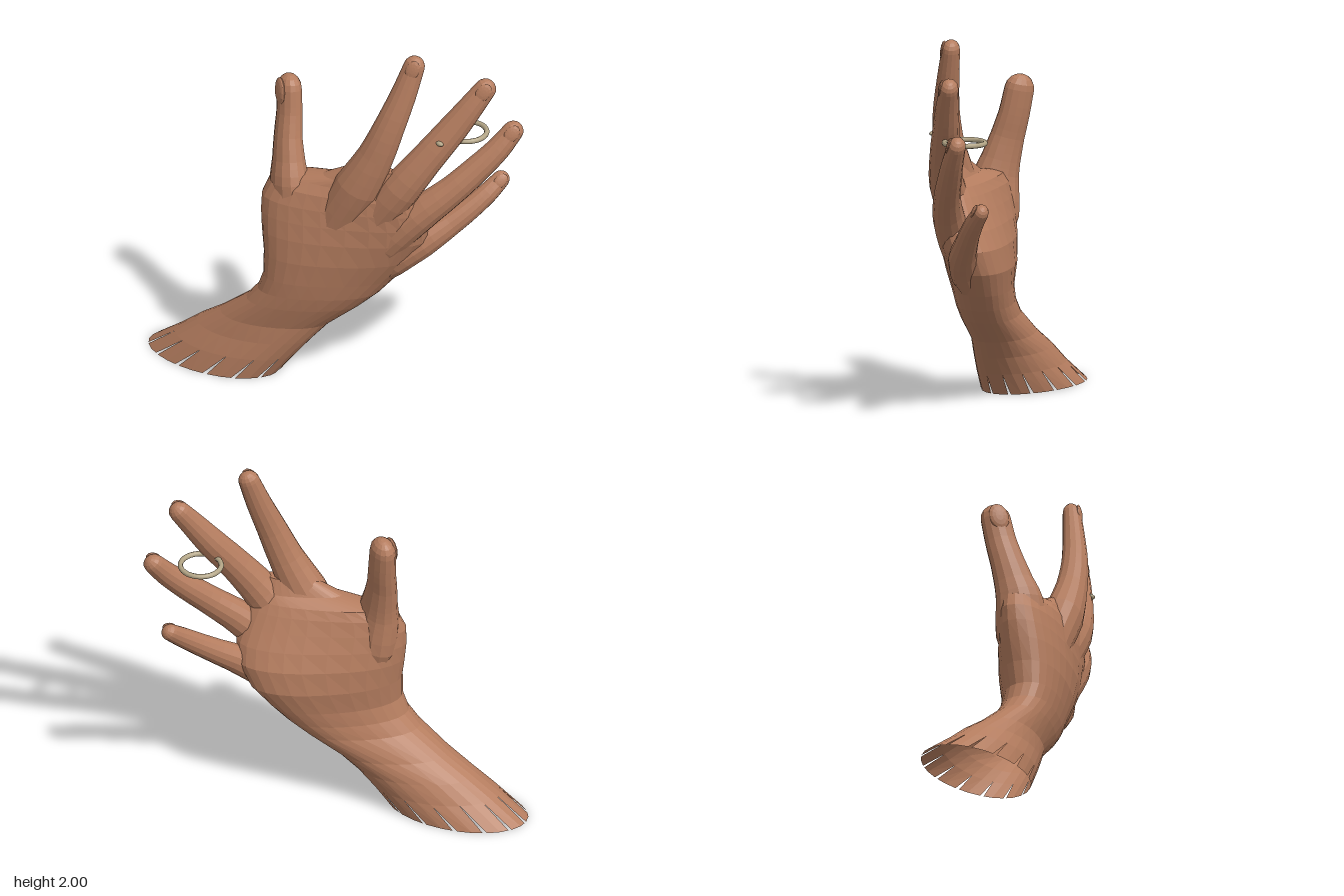
import * as THREE from 'three';

const SIDES = 14;

// Skin between closed rings of points, closed by a fan at the far end
function loft(rings) {
  const n = rings[0].length, pos = [], idx = [];
  rings.forEach(r => r.forEach(p => pos.push(p.x, p.y, p.z)));
  for (let i = 0; i < rings.length - 1; i++) {
    for (let j = 0; j < n; j++) {
      const k = (j + 1) % n, a = i * n + j, b = i * n + k;
      idx.push(a, b, a + n, b, b + n, a + n);
    }
  }
  const last = rings[rings.length - 1], base = (rings.length - 1) * n;
  const c = last.reduce((s, p) => s.add(p), new THREE.Vector3()).divideScalar(n);
  pos.push(c.x, c.y, c.z);
  for (let j = 0; j < n; j++) idx.push(base + j, base + (j + 1) % n, rings.length * n);
  const g = new THREE.BufferGeometry();
  g.setAttribute('position', new THREE.Float32BufferAttribute(pos, 3));
  g.setIndex(idx);
  g.computeVertexNormals();
  return g;
}

// Level, slanted oval fitted between x and z limits; a higher k is flatter and squarer
function slice([y, x0, x1, z0, z1, k], n) {
  const power = 1.2 - k / 2, ring = [];
  const soft = v => Math.sign(v) * Math.pow(Math.abs(v), power);
  for (let j = 0; j < n; j++) {
    const t = j / n * Math.PI * 2;
    const along = Math.sqrt(1 + k) * soft(Math.cos(t)), across = Math.sqrt(1 - k) * soft(Math.sin(t));
    ring.push(new THREE.Vector3(along - across, y, -along - across));
  }
  const mx = Math.max(...ring.map(p => p.x)), mz = Math.max(...ring.map(p => p.z));
  for (const p of ring) {
    p.x = (x0 + x1) / 2 + (x1 - x0) / 2 * p.x / mx;
    p.z = (z0 + z1) / 2 + (z1 - z0) / 2 * p.z / mz;
  }
  return ring;
}

// Tapered finger along points [x, y, z, radius] with a round tip and a nail
function finger(name, pts, back, flat, skin) {
  const group = new THREE.Group();
  group.name = name;
  const curve = new THREE.CatmullRomCurve3(pts.map(p => new THREE.Vector3(p[0], p[1], p[2])));
  const rings = [], steps = (pts.length - 1) * 3;
  let T, N, A;
  const addRing = (c, r) => {
    const ring = [];
    for (let j = 0; j < SIDES; j++) {
      const t = j / SIDES * Math.PI * 2;
      ring.push(c.clone().addScaledVector(A, r * Math.cos(t)).addScaledVector(N, r * flat * Math.sin(t)));
    }
    rings.push(ring);
  };
  for (let i = 0; i <= steps; i++) {
    const s = Math.min(Math.floor(i / 3), pts.length - 2);
    T = curve.getTangent(i / steps);
    N = back.clone().addScaledVector(T, -back.dot(T)).normalize();
    A = N.clone().cross(T);
    addRing(curve.getPoint(i / steps), THREE.MathUtils.lerp(pts[s][3], pts[s + 1][3], i / 3 - s));
  }
  const end = curve.getPoint(1), r = pts[pts.length - 1][3];
  for (const a of [0.4, 0.8, 1.15, 1.4]) {
    addRing(end.clone().addScaledVector(T, r * Math.sin(a)), r * Math.cos(a));
  }
  const flesh = new THREE.Mesh(loft(rings), skin);
  flesh.name = name + 'Flesh';

  const nail = new THREE.Mesh(new THREE.SphereGeometry(1, 12, 8), skin);
  nail.name = name + 'Nail';
  nail.scale.set(r * 0.68, r * 0.22, r * 0.95);
  nail.quaternion.setFromRotationMatrix(new THREE.Matrix4().makeBasis(A, N, T));
  nail.position.copy(end).addScaledVector(N, r * flat * 0.86).addScaledVector(T, -r * 0.15);
  group.add(flesh, nail);
  return group;
}

export function createModel() {
  const model = new THREE.Group();
  model.name = 'hand';
  const skin = new THREE.MeshStandardMaterial({ color: 0xb57d5f, flatShading: true, side: THREE.DoubleSide });
  skin.name = 'skin';
  const metal = new THREE.MeshStandardMaterial({ color: 0xb5a788 });
  metal.name = 'paleGold';
  const add = (name, geo, mat) => {
    const m = new THREE.Mesh(geo, mat);
    m.name = name;
    model.add(m);
    return m;
  };

  // Forearm, wrist and palm: y, x limits, z limits, flatness
  const cuffTop = [0.12, -0.67, -0.025, 0.135, 0.59, 0.42];
  const body = [
    cuffTop,
    [0.22, -0.55, 0.04, 0.095, 0.53, 0.48],
    [0.32, -0.41, 0.105, 0.035, 0.48, 0.55],
    [0.45, -0.255, 0.24, -0.07, 0.43, 0.61],
    [0.53, -0.195, 0.31, -0.13, 0.405, 0.63],
    [0.62, -0.165, 0.37, -0.19, 0.395, 0.65],
    [0.75, -0.175, 0.46, -0.265, 0.39, 0.67],
    [0.88, -0.195, 0.53, -0.285, 0.385, 0.72],
    [0.98, -0.205, 0.55, -0.25, 0.375, 0.76],
    [1.07, -0.205, 0.545, -0.2, 0.36, 0.79],
    [1.15, -0.18, 0.53, -0.155, 0.325, 0.81],
    [1.2, -0.1, 0.51, -0.125, 0.26, 0.82],
    [1.24, 0.1, 0.49, -0.1, 0.17, 0.82],
    [1.32, 0.24, 0.46, -0.06, 0.09, 0.75],
  ];
  add('forearmAndPalm', loft(body.map(s => slice(s, 28))), skin);

  // Ragged cut end: every second strip narrows towards the ground
  const top = slice(cuffTop, 28), foot = slice([0, -0.83, -0.1, 0.17, 0.65, 0.35], 28);
  const pos = [];
  for (let j = 0; j < 28; j++) {
    const k = (j + 1) % 28;
    const b = foot[j].clone().lerp(foot[k], j % 2 ? 0.72 : 1);
    for (const p of [foot[j], b, top[j], b, top[k], top[j]]) pos.push(p.x, p.y, p.z);
  }
  const cuff = new THREE.BufferGeometry();
  cuff.setAttribute('position', new THREE.Float32BufferAttribute(pos, 3));
  cuff.computeVertexNormals();
  add('raggedCutEnd', cuff, skin);

  // Fingers, from deep inside the palm over the knuckles to the tip
  const back = new THREE.Vector3(0.64, 0.1, 0.76).normalize();
  const thumbBack = new THREE.Vector3(-0.3, 0.1, 0.95).normalize();
  model.add(
    finger('thumb', [[0.07, 0.6, 0.18, 0.09], [0.01, 0.8, 0.21, 0.12], [-0.05, 0.98, 0.22, 0.145],
      [-0.075, 1.15, 0.23, 0.13], [-0.1, 1.26, 0.215, 0.108], [-0.128, 1.38, 0.195, 0.093],
      [-0.15, 1.5, 0.168, 0.085], [-0.17, 1.63, 0.15, 0.081]], thumbBack, 0.77, skin),
    finger('indexFinger', [[0.06, 0.68, 0.18, 0.09], [0.18, 0.98, 0.135, 0.115], [0.3, 1.22, 0.08, 0.122],
      [0.385, 1.42, 0.028, 0.096], [0.437, 1.6, -0.022, 0.081], [0.473, 1.78, -0.085, 0.068],
      [0.497, 1.945, -0.14, 0.056]], back, 0.86, skin),
    finger('middleFinger', [[0.14, 0.66, 0.09, 0.09], [0.33, 1.0, 0.0, 0.11], [0.47, 1.22, -0.07, 0.103],
      [0.56, 1.4, -0.17, 0.088], [0.64, 1.58, -0.29, 0.078], [0.69, 1.7, -0.365, 0.067],
      [0.728, 1.8, -0.43, 0.057]], back, 0.88, skin),
    finger('ringFinger', [[0.18, 0.63, 0.02, 0.085], [0.38, 0.87, -0.05, 0.1], [0.515, 1.05, -0.15, 0.096],
      [0.63, 1.2, -0.285, 0.08], [0.7, 1.32, -0.4, 0.073], [0.755, 1.43, -0.5, 0.064],
      [0.785, 1.52, -0.572, 0.055]], back, 0.88, skin),
    finger('littleFinger', [[0.2, 0.58, -0.04, 0.08], [0.37, 0.74, -0.11, 0.09], [0.475, 0.85, -0.215, 0.084],
      [0.55, 0.95, -0.345, 0.069], [0.6, 1.03, -0.445, 0.061], [0.633, 1.1, -0.53, 0.055],
      [0.65, 1.16, -0.602, 0.047]], back, 0.9, skin));

  // Ring with its small bead
  const band = add('ringBand', new THREE.TorusGeometry(0.107, 0.014, 8, 32), metal);
  band.rotation.x = Math.PI / 2;
  band.position.set(0.605, 1.5, -0.405);
  const bead = add('ringBead', new THREE.SphereGeometry(1, 12, 8), metal);
  bead.scale.set(0.026, 0.014, 0.016);
  bead.position.set(0.645, 1.525, -0.187);

  return model;
}
